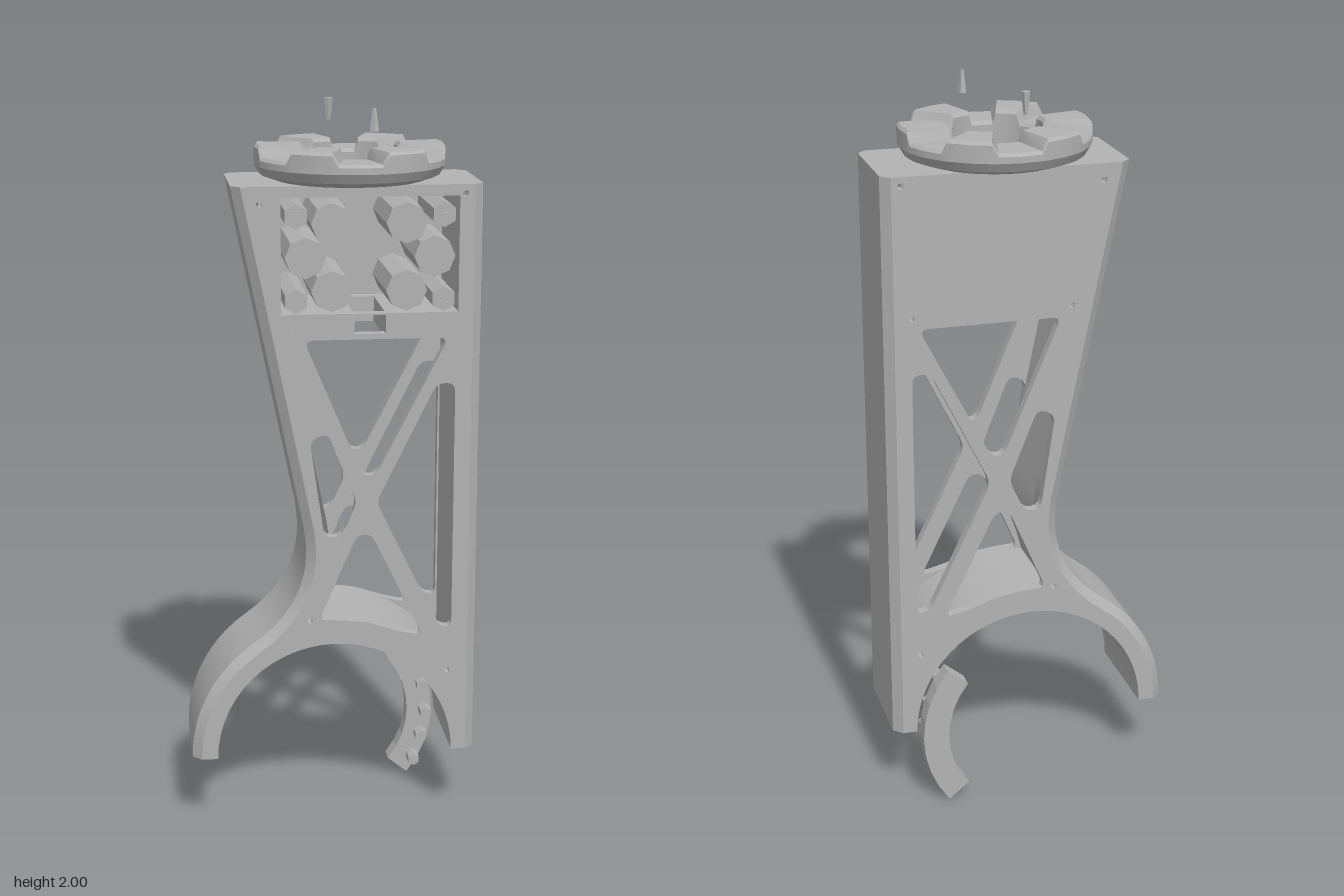
import * as THREE from 'three';
import { toCreasedNormals } from 'three/addons/utils/BufferGeometryUtils.js';

const V2 = (x, y) => new THREE.Vector2(x, y);
const rad = THREE.MathUtils.degToRad;

// Skin a surface across loops of [x, y, z] points.
function loft(loops, closeLoop, closeEnds, crease = 0.5) {
  const n = loops[0].length, m = loops.length, index = [];
  for (let j = 0; j < (closeEnds ? m : m - 1); j++) {
    for (let i = 0; i < (closeLoop ? n : n - 1); i++) {
      const a = j * n + i, a2 = j * n + (i + 1) % n;
      const b = ((j + 1) % m) * n + i, b2 = ((j + 1) % m) * n + (i + 1) % n;
      index.push(a, b, b2, a, b2, a2);
    }
  }
  const g = new THREE.BufferGeometry();
  g.setAttribute('position', new THREE.Float32BufferAttribute(loops.flat(2), 3));
  g.setIndex(index);
  return toCreasedNormals(g, crease);
}

// Points along an arc about the cradle centre (0, 0.2).
function arc(r, from, to, n) {
  return Array.from({ length: n + 1 }, (_, i) => {
    const a = rad(from + (to - from) * i / n);
    return V2(r * Math.cos(a), 0.2 + r * Math.sin(a));
  });
}

// Polygon path with rounded corners.
function roundedPath(pts, r = 0.025) {
  const path = new THREE.Path();
  pts.map((p) => V2(...p)).forEach((p, i, all) => {
    const prev = all[(i + all.length - 1) % all.length], next = all[(i + 1) % all.length];
    const toward = (q) => p.clone().lerp(q, Math.min(0.45, r / p.distanceTo(q)));
    const a = toward(prev), b = toward(next);
    if (i) path.lineTo(a.x, a.y); else path.moveTo(a.x, a.y);
    path.quadraticCurveTo(p.x, p.y, b.x, b.y);
  });
  path.closePath();
  return path;
}

// Flaring left edge, from the top corner down to the foot.
const flare = new THREE.QuadraticBezierCurve(V2(-0.085, 0.865), V2(-0.045, 0.657), V2(-0.229, 0.528)).getPoints(10);
const leftEdge = [V2(-0.275, 1.8), ...flare, ...arc(0.4, 130, 180, 10)];

function insetLeft(d) {
  return leftEdge.map((p, i) => {
    const a = leftEdge[Math.max(0, i - 1)], b = leftEdge[Math.min(leftEdge.length - 1, i + 1)];
    const t = b.clone().sub(a).normalize();
    const q = V2(p.x - t.y * d, p.y + t.x * d);
    if (i === 0) q.y = 1.8;
    if (i === leftEdge.length - 1) q.set(p.x + d, 0.2);
    return q;
  });
}

// Whole side outline, with its two long edges moved in by d.
const outline = (d) => [...insetLeft(d), ...arc(0.33, 180, 0, 28), V2(0.395 - d, 0.2), V2(0.395 - d, 1.8)];
const atZ = (pts, z) => pts.map((p) => [p.x, p.y, z]);

const trussHoles = [
  [[-0.085, 1.39], [0.305, 1.39], [0.11, 1.012], [0.075, 1.012]],
  [[0.325, 1.265], [0.275, 1.265], [0.112, 0.935], [0.285, 0.575], [0.325, 0.565]],
  [[-0.07, 1.115], [-0.02, 1.135], [0.06, 0.935], [0.015, 0.84], [-0.03, 0.84]],
  [[0.06, 0.845], [0.1, 0.845], [0.245, 0.545], [0.17, 0.562], [0.09, 0.59], [0, 0.6], [-0.045, 0.6]],
];
const screwSpots = [[-0.2, 1.755], [0.345, 1.775], [-0.115, 1.42], [0.322, 1.42], [-0.07, 0.6], [0.315, 0.44]];

function plateGeometry(extraHoles) {
  const shape = new THREE.Shape(outline(0.025));
  trussHoles.forEach((h) => shape.holes.push(roundedPath(h)));
  screwSpots.forEach(([x, y]) => {
    shape.holes.push(new THREE.Path(Array.from({ length: 6 }, (_, i) =>
      V2(x + 0.009 * Math.cos(i * Math.PI / 3), y + 0.009 * Math.sin(i * Math.PI / 3)))));
  });
  shape.holes.push(...extraHoles);
  return new THREE.ExtrudeGeometry(shape, { depth: 0.03, bevelEnabled: false, curveSegments: 3 });
}

// Slice of a ring about the cradle centre, extruded along z.
function sector(rIn, rOut, from, to, depth) {
  const shape = new THREE.Shape([...arc(rOut, from, to, 8), ...arc(rIn, to, from, 8)]);
  return new THREE.ExtrudeGeometry(shape, { depth, bevelEnabled: false });
}

export function createModel() {
  const model = new THREE.Group();
  const gray = new THREE.MeshStandardMaterial({ color: 0xb3b3b3, side: THREE.DoubleSide });
  gray.name = 'plain gray';
  const add = (name, geometry, x = 0, y = 0, z = 0) => {
    const mesh = new THREE.Mesh(geometry, gray);
    mesh.name = name;
    mesh.position.set(x, y, z);
    model.add(mesh);
    return mesh;
  };
  const rod = (name, r0, r1, length, sides, x, y, z, alongZ = true) => {
    const g = new THREE.CylinderGeometry(r0, r1, length, sides).toNonIndexed();
    g.computeVertexNormals();
    if (alongZ) g.rotateX(Math.PI / 2);
    return add(name, g, x, y, z);
  };
  const box = (name, x0, x1, y0, y1, z0, z1) =>
    add(name, new THREE.BoxGeometry(x1 - x0, y1 - y0, z1 - z0), (x0 + x1) / 2, (y0 + y1) / 2, (z0 + z1) / 2);

  // Hollow body: chamfered outer shell, inner wall and pierced plates
  add('outerShell', loft([
    atZ(outline(0.025), 0.155), atZ(outline(0), 0.13),
    atZ(outline(0), -0.13), atZ(outline(0.025), -0.155),
  ], false, false));
  const cavity = [...insetLeft(0.065).slice(0, 11).filter((p) => p.y > 0.62),
    ...arc(0.4, 98, 34.4, 12), V2(0.33, 1.8)];
  add('innerWall', loft([atZ(cavity, -0.126), atZ(cavity, 0.126)], false, false));
  const window = new THREE.Path([V2(-0.145, 1.46), V2(0.33, 1.46), V2(0.33, 1.77), V2(-0.145, 1.77)]);
  const slot = new THREE.Path([V2(0.05, 1.405), V2(0.135, 1.405), V2(0.135, 1.455), V2(0.05, 1.455)]);
  add('frontPlate', plateGeometry([window, slot]), 0, 0, 0.125);
  add('backPlate', plateGeometry([]), 0, 0, -0.155);

  // Top lid with a round opening
  const lid = new THREE.Shape([V2(-0.275, -0.13), V2(-0.25, -0.155), V2(0.37, -0.155), V2(0.395, -0.13),
    V2(0.395, 0.13), V2(0.37, 0.155), V2(-0.25, 0.155), V2(-0.275, 0.13)]);
  lid.holes.push(new THREE.Path().absarc(0.055, 0, 0.127, 0, Math.PI * 2));
  add('lid', new THREE.ShapeGeometry(lid, 14).rotateX(-Math.PI / 2), 0, 1.8, 0);

  // Slotted shelf and the cylinders held in the front bay
  box('shelfLeft', -0.15, 0.05, 1.39, 1.46, -0.126, 0.15);
  box('shelfRight', 0.135, 0.332, 1.39, 1.46, -0.126, 0.15);
  box('shelfBack', 0.05, 0.135, 1.39, 1.46, -0.126, -0.09);
  [[-0.01, 1.7], [0.19, 1.7], [-0.08, 1.61], [0.265, 1.61], [-0.01, 1.52], [0.19, 1.52]]
    .forEach(([x, y]) => rod('bayCylinder', 0.055, 0.055, 0.275, 8, x, y, 0.015));
  for (const x of [-0.105, 0.29]) {
    for (const y of [1.495, 1.72]) {
      rod('bayBolt', 0.034, 0.034, 0.27, 6, x, y, 0.015);
      rod('bayBoltTip', 0.012, 0.012, 0.01, 3, x, y, 0.15);
    }
  }

  // Toothed ring: six raised and six lower sectors
  const loops = [];
  for (let c = 0; c < 360; c += 60) {
    for (const [da, top] of [[-17, 1.865], [-13, 1.895], [0, 1.895], [13, 1.895], [17, 1.865], [30, 1.865]]) {
      const a = rad(c + da);
      loops.push([[0.127, 1.79], [0.2, 1.8], [0.242, 1.815], [0.257, 1.84], [0.257, top - 0.008], [0.25, top], [0.135, top], [0.127, top - 0.01]]
        .map(([r, y]) => [0.055 + r * Math.cos(a), y, -r * Math.sin(a)]));
    }
  }
  add('toothedRing', loft(loops, true, true, 0.3));
  const neck = [[0.127, 1.77], [0.152, 1.77], [0.152, 1.82], [0.127, 1.82], [0.127, 1.77]].map((p) => V2(...p));
  add('ringNeck', toCreasedNormals(new THREE.LatheGeometry(neck, 24), 0.5), 0.055, 0, 0);

  // Loose pins above the ring and dowels under the feet
  rod('upperPin', 0.013, 0.006, 0.06, 5, 0.015, 1.97, -0.157, false);
  rod('upperPin', 0.005, 0.013, 0.06, 5, 0.1, 1.97, 0.157, false);
  for (const x of [-0.37, 0.365]) rod('footDowel', 0.013, 0.011, 0.07, 6, x, 0.185, 0, false);

  // Small clips below the cradle arch
  for (const a of [112, 48]) add('archClip', sector(0.316, 0.335, a, a + 11, 0.16), 0, 0, -0.08);

  // Curved clamp at the back with its bolts
  add('clamp', sector(0.25, 0.323, -39, 39, 0.05), 0, 0, -0.205);
  [[0.265, 0.36, 0.03], [0.292, 0.28, 0.03], [0.3, 0.2, 0.05], [0.288, 0.125, 0.04], [0.265, 0.055, 0.05]]
    .forEach(([x, y, len]) => rod('clampBolt', 0.018, 0.018, len, 6, x, y, -0.156 + len / 2));

  return model;
}
